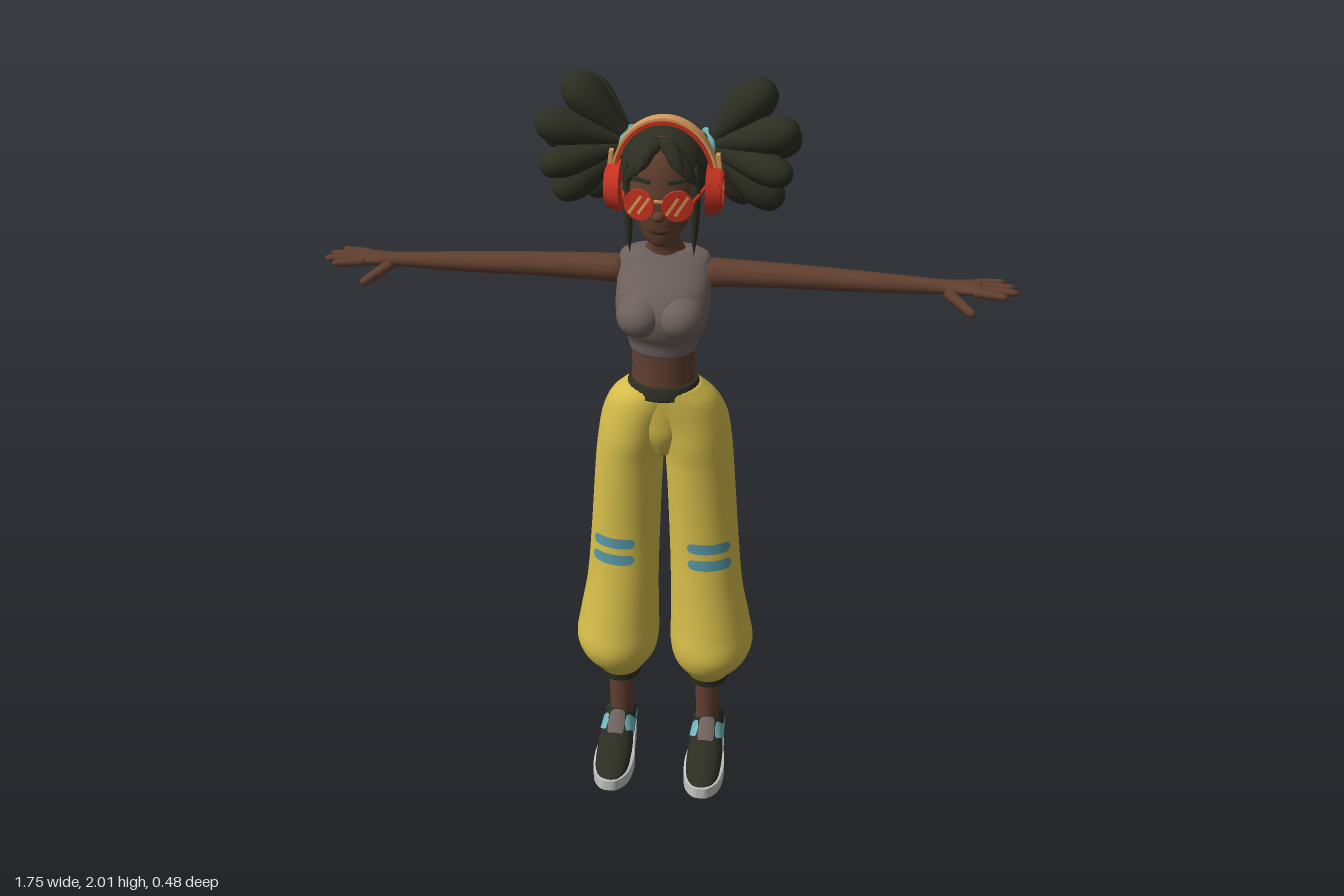
import * as THREE from 'three';
import { mergeVertices } from 'three/addons/utils/BufferGeometryUtils.js';

const mat = (name, color) => Object.assign(new THREE.MeshStandardMaterial({ color }), { name });
const V = (x, y, z) => new THREE.Vector3(x, y, z);
const lerp = THREE.MathUtils.lerp;

// Smooth surface from fn(row, column), both 0..1
function grid(rows, cols, fn) {
  const pos = [], idx = [], w = cols + 1;
  for (let i = 0; i <= rows; i++) for (let j = 0; j <= cols; j++) pos.push(...fn(i / rows, j / cols));
  for (let i = 0; i < rows; i++) for (let j = 0; j < cols; j++) {
    const a = i * w + j, c = a + w;
    idx.push(a, c, a + 1, a + 1, c, c + 1);
  }
  let g = new THREE.BufferGeometry();
  g.setAttribute('position', new THREE.Float32BufferAttribute(pos, 3));
  g.setIndex(idx);
  g = mergeVertices(g, 1e-5);
  g.computeVertexNormals();
  return g;
}

// Section at t from a list of [t, centreA, centreB, radiusA, radiusB] (t ascending)
function sectionAt(S, t) {
  let i = 0;
  while (i < S.length - 2 && t > S[i + 1][0]) i++;
  const slope = (k, c) => {
    const p = S[Math.max(k - 1, 0)], q = S[Math.min(k + 1, S.length - 1)];
    return (q[c] - p[c]) / (q[0] - p[0]);
  };
  const h = S[i + 1][0] - S[i][0], f = (t - S[i][0]) / h, f2 = f * f, f3 = f2 * f;
  return [1, 2, 3, 4].map((c) => (2 * f3 - 3 * f2 + 1) * S[i][c] + (f3 - 2 * f2 + f) * h * slope(i, c)
    + (3 * f2 - 2 * f3) * S[i + 1][c] + (f3 - f2) * h * slope(i + 1, c));
}

// Point on a lofted body; axis 0, 1, 2 runs along x, y, z
function surfacePoint(S, axis, t, angle, scale = 1, grow = 0) {
  const [ca, cb, ra, rb] = sectionAt(S, t), p = [0, 0, 0];
  p[axis] = t;
  p[(axis + 2) % 3] = ca + (ra + grow) * scale * Math.cos(angle);
  p[(axis + 1) % 3] = cb + (rb + grow) * scale * Math.sin(angle);
  return p;
}

function loft(S, axis = 1, cols = 32, steps = 5) {
  const n = (S.length - 1) * steps;
  return grid(n + 2, cols, (u, v) => {
    const k = Math.round(u * (n + 2)), r = THREE.MathUtils.clamp(k - 1, 0, n);
    const i = Math.min(Math.floor(r / steps), S.length - 2);
    const t = lerp(S[i][0], S[i + 1][0], r / steps - i);
    return surfacePoint(S, axis, t, (v % 1) * Math.PI * 2, k === 0 || k === n + 2 ? 0 : 1);
  });
}

// Thin painted patch with rounded ends lying on a lofted body
const patch = (S, axis, t, half, a0, a1, slant = 0, grow = 0.003) => grid(4, 20, (u, v) => {
  const s = 2 * v - 1;
  return surfacePoint(S, axis, t + slant * s + (2 * u - 1) * half * Math.sqrt(1 - s ** 8), lerp(a0, a1, v), 1, grow);
});

const TEAR = [[0, 0], [0.35, 0.02], [0.5, 0.2], [0.8, 0.45], [1, 0.68], [0.9, 0.85], [0.55, 0.96], [0, 1]];
const FINGER = [[0, 0], [0.95, 0.02], [1, 0.4], [0.9, 0.75], [0.8, 0.9], [0.45, 0.98], [0, 1]];
const STRAND = [[0, 0], [0.7, 0.1], [1, 0.4], [0.7, 0.75], [0, 1]];

export function createModel() {
  const skin = mat('skin', 0x613f2f), dark = mat('darkHair', 0x2d2e22), grey = mat('topGrey', 0x6e615d);
  const yellow = mat('trouserYellow', 0xd6bd4a), blue = mat('patchBlue', 0x5797a6), red = mat('red', 0xc6321f);
  const tan = mat('tan', 0xd59a5a), white = mat('soleGrey', 0xc4c4c2), lip = mat('lip', 0x452820), teal = mat('teal', 0x6db5ba);

  const model = new THREE.Group();
  model.name = 'character';
  let target = model;
  const add = (name, geometry, material, p = [0, 0, 0], r = [0, 0, 0], s = [1, 1, 1]) => {
    const m = new THREE.Mesh(geometry, material);
    m.name = name;
    m.position.set(...p);
    m.rotation.set(...r);
    m.scale.set(...s);
    target.add(m);
    return m;
  };
  const ball = (name, material, p, s) => add(name, new THREE.SphereGeometry(1, 32, 20), material, p, [0, 0, 0], s);
  // Turned shape between two points
  const lobe = (name, material, from, to, r, profile) => {
    const a = V(...from), d = V(...to).sub(a), len = d.length();
    const pts = new THREE.SplineCurve(profile.map(([x, y]) => new THREE.Vector2(x * r, y * len))).getPoints(20)
      .map((p) => new THREE.Vector2(Math.max(p.x, 0), p.y));
    const m = add(name, new THREE.LatheGeometry(pts, 16), material, from);
    m.quaternion.setFromUnitVectors(V(0, 1, 0), d.normalize());
    return m;
  };

  // Torso
  add('waist', loft([[1.21, 0, 0.003, 0.084, 0.077], [1.29, 0, 0.005, 0.081, 0.074], [1.36, 0, 0.005, 0.082, 0.074]]), skin);
  add('belt', loft([[1.215, 0, 0.003, 0.096, 0.09], [1.235, 0, 0.003, 0.094, 0.087], [1.25, 0, 0.003, 0.089, 0.082]]), dark);
  add('croppedTop', loft([[1.335, 0, 0.004, 0.086, 0.077], [1.37, 0, 0.008, 0.094, 0.079], [1.4, 0, 0.018, 0.107, 0.086],
    [1.45, 0, 0.018, 0.12, 0.094], [1.5, 0, 0.004, 0.119, 0.087], [1.55, 0, -0.022, 0.117, 0.062],
    [1.58, 0, -0.034, 0.11, 0.045], [1.593, 0, -0.034, 0.085, 0.034]]), grey);
  add('neck', loft([[1.56, 0, -0.033, 0.065, 0.042], [1.595, 0, -0.03, 0.05, 0.037], [1.625, 0, -0.02, 0.038, 0.036],
    [1.7, 0, -0.005, 0.042, 0.042]]), skin);

  // Head and face
  add('head', loft([[1.636, 0, 0.058, 0.018, 0.018], [1.648, 0, 0.05, 0.036, 0.038], [1.69, 0, 0.03, 0.064, 0.066],
    [1.74, 0, 0.012, 0.085, 0.088], [1.8, 0, -0.005, 0.092, 0.1], [1.86, 0, -0.02, 0.085, 0.098], [1.9, 0, -0.03, 0.055, 0.065]]), skin);
  ball('nose', skin, [0, 1.722, 0.098], [0.015, 0.014, 0.015]);
  ball('lips', lip, [0, 1.683, 0.09], [0.026, 0.009, 0.011]);
  ball('hairCap', dark, [0, 1.808, -0.035], [0.108, 0.111, 0.125]);
  add('glassesBridge', new THREE.BoxGeometry(0.03, 0.006, 0.006), tan, [0, 1.765, 0.11]);

  // Headphone band
  const arch = (name, material, outer, inner, depth) => {
    const s = new THREE.Shape();
    s.absellipse(0, 0, outer, outer + 0.022, 0, Math.PI, false);
    s.absellipse(0, 0, inner, inner + 0.022, Math.PI, 0, true);
    add(name, new THREE.ExtrudeGeometry(s, { depth, bevelEnabled: false, curveSegments: 40 }), material, [0, 1.78, -0.017 - depth / 2]);
  };
  arch('headphoneBand', tan, 0.13, 0.121, 0.036);
  arch('headphoneBandLining', red, 0.124, 0.115, 0.044);

  const leg = [[0.288, 0.127, -0.018, 0.06, 0.066], [0.31, 0.128, -0.018, 0.075, 0.083], [0.35, 0.132, -0.02, 0.104, 0.116],
    [0.4, 0.135, -0.022, 0.117, 0.132], [0.47, 0.13, -0.022, 0.112, 0.121], [0.6, 0.118, -0.02, 0.1, 0.1],
    [0.75, 0.109, -0.022, 0.095, 0.09], [1, 0.094, -0.022, 0.091, 0.1], [1.07, 0.084, -0.027, 0.093, 0.112],
    [1.13, 0.068, -0.026, 0.098, 0.111], [1.195, 0.034, -0.008, 0.104, 0.095], [1.238, 0, 0.003, 0.092, 0.085]];
  add('trouserSeat', loft([[1.03, 0, -0.015, 0.03, 0.06], [1.09, 0, -0.016, 0.075, 0.09], [1.15, 0, -0.012, 0.1, 0.094],
    [1.2, 0, -0.005, 0.1, 0.09], [1.235, 0, 0.003, 0.092, 0.085]]), yellow);

  const upper = [[-0.09, 0.06, 0, 0.02, 0.022], [-0.07, 0.072, 0, 0.045, 0.039], [-0.02, 0.078, 0, 0.056, 0.044],
    [0.04, 0.08, 0, 0.058, 0.047], [0.1, 0.062, 0, 0.045, 0.051], [0.17, 0.045, 0, 0.032, 0.046],
    [0.215, 0.035, 0, 0.018, 0.028], [0.224, 0.034, 0, 0.008, 0.012]];
  const outline = new THREE.Shape(new THREE.SplineCurve([[0, -0.093], [0.035, -0.08], [0.045, -0.03], [0.05, 0.04], [0.058, 0.11],
    [0.05, 0.18], [0.025, 0.222], [0, 0.23], [-0.025, 0.222], [-0.05, 0.18], [-0.058, 0.11], [-0.05, 0.04], [-0.045, -0.03],
    [-0.035, -0.08], [0, -0.093]].map(([x, y]) => new THREE.Vector2(x, y))).getPoints(56));

  for (const side of [1, -1]) {
    target = new THREE.Group();
    target.name = side > 0 ? 'leftSide' : 'rightSide';
    target.scale.x = side;
    model.add(target);

    ball('bust', grey, [0.05, 1.447, 0.062], [0.062, 0.058, 0.069]);

    // Arm and hand
    add('arm', loft([[0.09, -0.03, 1.53, 0.038, 0.038], [0.3, -0.028, 1.531, 0.033, 0.031], [0.5, -0.022, 1.529, 0.028, 0.026],
      [0.67, -0.018, 1.528, 0.021, 0.019], [0.71, -0.017, 1.528, 0.026, 0.017], [0.76, -0.016, 1.53, 0.037, 0.014],
      [0.785, -0.016, 1.53, 0.032, 0.011]], 0, 20), skin);
    [[0.015, 0.845, 0.034], [-0.006, 0.873, 0.004], [-0.026, 0.866, -0.027], [-0.043, 0.842, -0.058]].forEach(([z, x, tipZ]) =>
      lobe('finger', skin, [0.765, 1.53, z], [x, 1.53, tipZ], 0.0105, FINGER));
    lobe('thumb', skin, [0.7, 1.522, 0], [0.768, 1.486, 0.055], 0.013, FINGER);

    // Trouser leg with knee patches
    add('trouserLeg', loft(leg, 1, 40), yellow);
    for (const y of [0.757, 0.705]) add('kneePatch', patch(leg, 1, y, 0.016, 0.64, 1.98), blue);
    add('cuff', new THREE.CylinderGeometry(0.062, 0.058, 0.034, 28), dark, [0.127, 0.283, -0.018], [0, 0, 0], [1, 1, 1.1]);
    add('ankle', new THREE.CylinderGeometry(0.037, 0.033, 0.2, 24), skin, [0.127, 0.19, -0.016]);

    // Shoe
    const body = target;
    target = new THREE.Group();
    target.name = 'shoe';
    target.position.x = 0.132;
    body.add(target);
    const sole = new THREE.ExtrudeGeometry(outline, { depth: 0.05, bevelEnabled: false });
    sole.rotateX(Math.PI / 2).translate(0, 0.05, 0);
    const p = sole.attributes.position;
    for (let i = 0; i < p.count; i++) {
      const z = p.getZ(i), toe = Math.max(0, z - 0.12) / 0.11;
      p.setY(i, p.getY(i) * (1.05 - z * 1.6) + 0.012 * toe * toe);
    }
    sole.computeVertexNormals();
    add('sole', sole, white);
    add('shoeUpper', loft(upper, 2, 28), dark);
    add('tongue', patch(upper, 2, 0.06, 0.035, -0.5, 0.5), grey);
    for (const s of [1, -1]) {
      const range = (a, b) => (s > 0 ? [a, b] : [-b, -a]);
      add('sidePanel', patch(upper, 2, 0.04, 0.026, ...range(0.5, 1.65), -0.02 * s), teal);
      add('heelPanel', patch(upper, 2, -0.025, 0.045, ...range(1.3, 1.65)), teal);
      add('sideStripe', patch(upper, 2, 0.035, 0.065, ...range(1.62, 2.05), 0, 0.005), red);
    }
    target = body;

    // Sunglasses
    add('lens', new THREE.CylinderGeometry(0.038, 0.038, 0.008, 32), red, [0.046, 1.755, 0.107], [Math.PI / 2, 0, -0.22]);
    for (const [x, len] of [[-0.012, 0.05], [0.01, 0.056]])
      add('lensStreak', new THREE.BoxGeometry(0.007, len, 0.004), tan, [0.046 + x, 1.755, 0.111 - x * 0.22], [0, 0.22, -0.6 * side]);
    add('glassesArm', new THREE.BoxGeometry(0.006, 0.007, 0.1), red, [0.093, 1.765, 0.05], [0, -0.18, 0]);
    add('eyebrow', new THREE.BoxGeometry(0.045, 0.009, 0.008), dark, [0.043, 1.808, 0.087], [0, 0.3, 0.12]);

    // Headphone cup
    add('earCup', new THREE.CylinderGeometry(0.054, 0.064, 0.034, 32), red, [0.122, 1.757, -0.01], [0, 0, -Math.PI / 2]);
    add('earCupRing', new THREE.TorusGeometry(0.04, 0.006, 10, 32), red, [0.139, 1.757, -0.01], [0, Math.PI / 2, 0]);
    add('bandSlider', new THREE.BoxGeometry(0.01, 0.09, 0.022), tan, [0.135, 1.8, -0.015], [0, 0, 0.12]);

    // Fringe and hanging strands
    lobe('fringe', dark, [0, 1.898, 0.05], [0.088, 1.79, 0.062], 0.024, STRAND);
    lobe('fringe', dark, [0.01, 1.9, 0.04], [0.055, 1.825, 0.095], 0.02, STRAND);
    lobe('frontStrand', dark, [0.085, 1.84, 0.05], [0.079, 1.602, 0.042], 0.012, STRAND);

    // Bunch of hair with its tie
    const tie = add('hairTie', new THREE.TorusGeometry(0.034, 0.008, 10, 28), teal, [0.098, 1.84, -0.095]);
    tie.quaternion.setFromUnitVectors(V(0, 0, 1), V(1, 0.1, -0.45).normalize());
    [[0.25, 2, -0.09, 0.05], [0.245, 1.95, -0.232, 0.05], [0.322, 1.9, -0.045, 0.046], [0.325, 1.845, -0.15, 0.048],
      [0.285, 1.7, -0.075, 0.046], [0.25, 1.77, -0.215, 0.046], [0.205, 1.685, -0.14, 0.042], [0.31, 1.79, -0.015, 0.04]]
      .forEach(([x, y, z, r]) => lobe('hairLobe', dark, [0.09, 1.84, -0.088], [x, y, z], r, TEAR));
  }
  return model;
}
